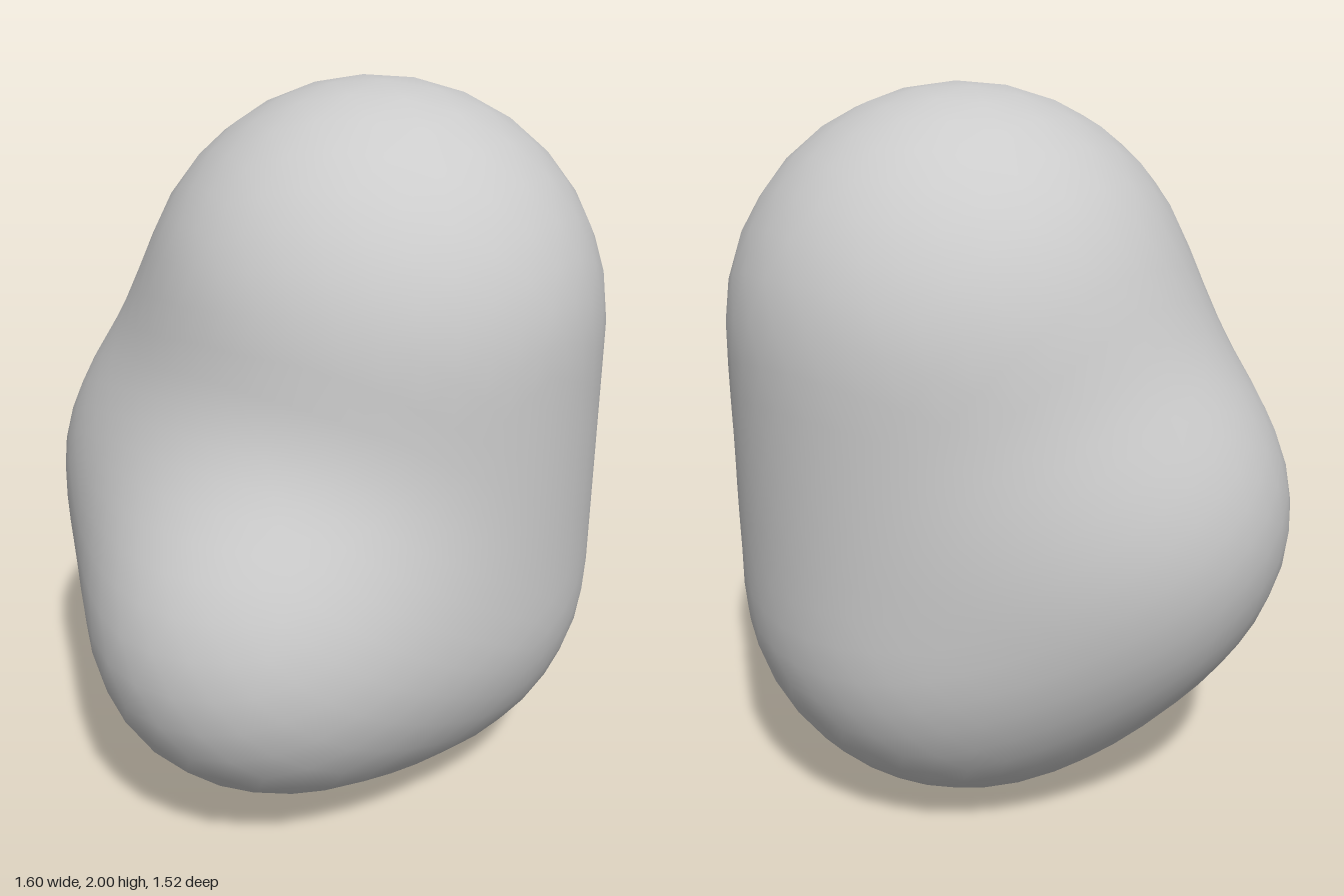
import * as THREE from 'three';
import { mergeVertices } from 'three/addons/utils/BufferGeometryUtils.js';

// Upright capsule with two round lobes, melted together by a smooth union
const capsule = { x: 0.16, z: 0.12, low: 0.64, high: 1.36, radius: 0.64 };
const lobes = [
  { centre: new THREE.Vector3(-0.33, 0.62, 0.13), radius: 0.47 }, // side lobe
  { centre: new THREE.Vector3(0, 0.86, -0.26), radius: 0.5 },     // back lobe
];
const BLEND = 0.3;

function smoothMin(a, b) {
  const h = Math.max(BLEND - Math.abs(a - b), 0);
  return Math.min(a, b) - (h * h) / (4 * BLEND);
}

// Signed distance to the blended body
function distance(p) {
  const y = THREE.MathUtils.clamp(p.y, capsule.low, capsule.high);
  const core = Math.hypot(p.x - capsule.x, p.y - y, p.z - capsule.z) - capsule.radius;
  const bumps = lobes.map((l) => p.distanceTo(l.centre) - l.radius).reduce(smoothMin);
  return smoothMin(core, bumps);
}

// Push every vertex of a ball outwards until it meets the surface
function blobGeometry() {
  const ball = new THREE.IcosahedronGeometry(1, 9);
  ball.deleteAttribute('uv');
  ball.deleteAttribute('normal');
  const geometry = mergeVertices(ball, 1e-4);
  const origin = new THREE.Vector3(0.06, 0.9, 0.05);
  const pos = geometry.attributes.position;
  const dir = new THREE.Vector3();
  const p = new THREE.Vector3();
  for (let i = 0; i < pos.count; i++) {
    dir.fromBufferAttribute(pos, i).normalize();
    let inner = 0;
    let outer = 1.6;
    for (let n = 0; n < 24; n++) {
      const mid = (inner + outer) / 2;
      p.copy(origin).addScaledVector(dir, mid);
      if (distance(p) < 0) inner = mid;
      else outer = mid;
    }
    pos.setXYZ(i, p.x, p.y, p.z);
  }
  geometry.computeVertexNormals();
  return geometry;
}

export function createModel() {
  const group = new THREE.Group();
  group.name = 'lobedBoulder';
  const body = new THREE.Mesh(blobGeometry(), new THREE.MeshStandardMaterial({ color: 0xcccccc }));
  body.name = 'body';
  group.add(body);
  return group;
}
